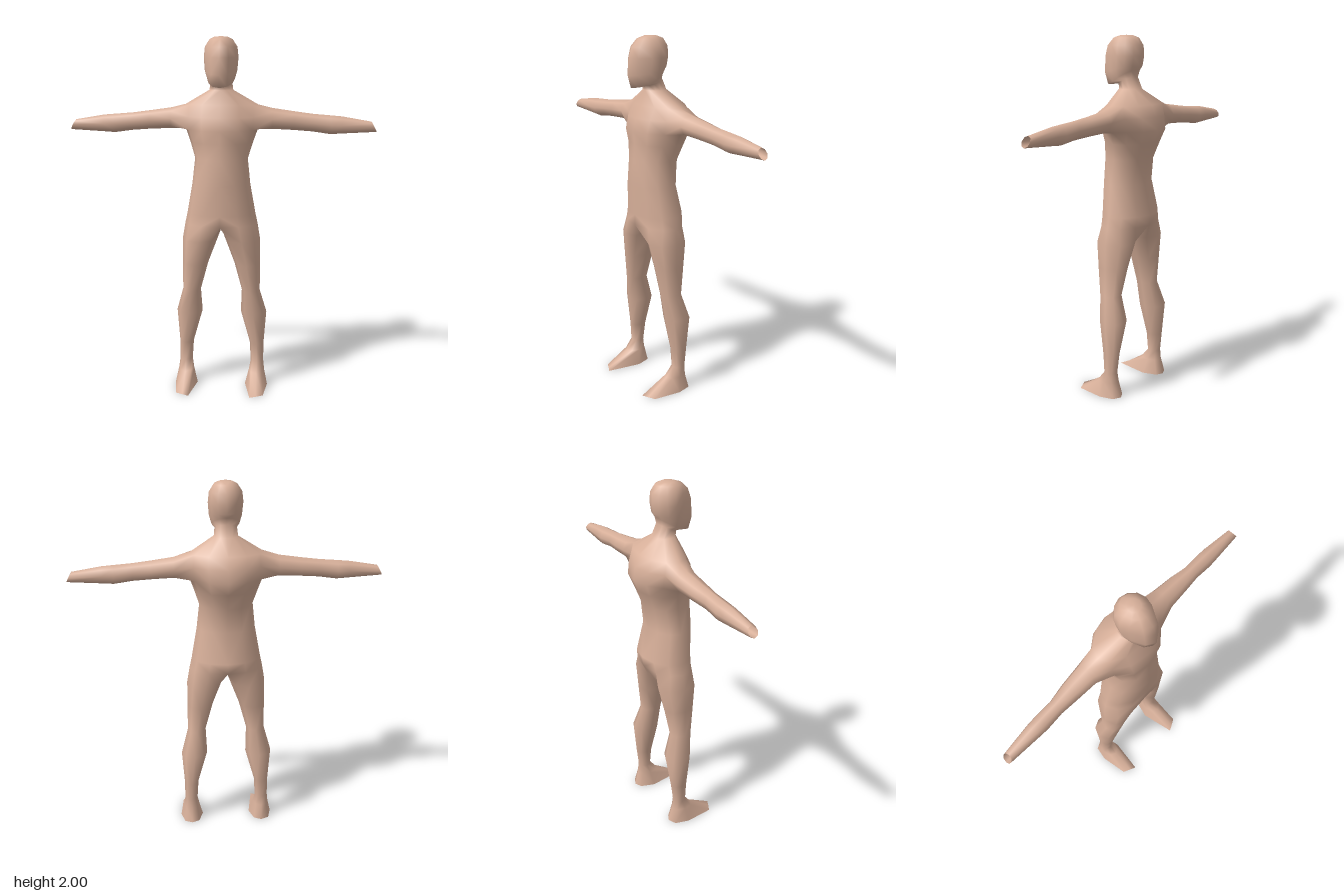
import * as THREE from 'three';
import { mergeVertices } from 'three/addons/utils/BufferGeometryUtils.js';

// Half ring of the trunk (x >= 0), seven points from front to back.
// tilt raises the front against the back, point sharpens the front.
function trunkRing([y, w, zFront, zBack, zMid, tilt = 0, point = 1]) {
  return Array.from({ length: 7 }, (_, j) => {
    const a = (j * Math.PI) / 6;
    const c = Math.cos(a);
    const z = c > 0 ? zMid + (zFront - zMid) * Math.pow(c, point) : zMid + (zMid - zBack) * c;
    return [j % 6 ? w * Math.sin(a) : 0, y + tilt * c, z];
  });
}

// Eight-sided leg ring, starting at the inner front corner
function legRing([y, xIn, xOut, zFront, zBack]) {
  return Array.from({ length: 8 }, (_, k) => {
    const a = ((k - 1) * Math.PI) / 4;
    return [
      (xIn + xOut) / 2 + ((xOut - xIn) / 2) * Math.sin(a), y,
      (zFront + zBack) / 2 + ((zFront - zBack) / 2) * Math.cos(a),
    ];
  });
}

// Eight-sided arm ring, starting at the lower front corner
function armRing([x, yLow, yHigh, zFront, zBack, tilt = 0]) {
  return Array.from({ length: 8 }, (_, k) => {
    const a = ((k - 1) * Math.PI) / 4;
    return [
      x - tilt * Math.cos(a),
      (yLow + yHigh) / 2 - ((yHigh - yLow) / 2) * Math.cos(a),
      (zFront + zBack) / 2 - ((zFront - zBack) / 2) * Math.sin(a),
    ];
  });
}

export function createModel() {
  const positions = [];

  // Adds a triangle and its mirror image
  const tri = (a, b, c) => {
    positions.push(...a, ...b, ...c);
    for (const [x, y, z] of [a, c, b]) positions.push(-x, y, z);
  };
  const loft = (rings, closed, skip = () => false) => {
    for (let i = 0; i < rings.length - 1; i++) {
      const A = rings[i], B = rings[i + 1], n = A.length;
      for (let j = 0; j < (closed ? n : n - 1); j++) {
        if (skip(i, j)) continue;
        const k = (j + 1) % n;
        tri(A[j], A[k], B[j]);
        tri(A[k], B[k], B[j]);
      }
    }
  };

  // Trunk, neck and head: y, half width, front z, back z, middle z, tilt, point
  const trunk = [
    [0.97, 0.205, 0.12, -0.14, -0.01],
    [1.03, 0.192, 0.12, -0.15, -0.01],
    [1.2, 0.162, 0.13, -0.11, 0],
    [1.34, 0.147, 0.125, -0.13, -0.01],
    [1.43, 0.175, 0.12, -0.165, -0.03],
    [1.5, 0.2, 0.13, -0.196, -0.037],
    [1.57, 0.205, 0.11, -0.185, -0.037],
    [1.635, 0.2, 0.075, -0.16, -0.037],
    [1.715, 0.065, 0.05, -0.075, -0.01],
    [1.76, 0.06, 0.055, -0.045, 0, -0.02],
    [1.775, 0.075, 0.14, -0.055, 0.02, -0.042, 1.6],
    [1.82, 0.088, 0.16, -0.072, 0.02, -0.02, 1.6],
    [1.89, 0.094, 0.153, -0.08, 0.01, 0, 1.6],
    [1.945, 0.088, 0.133, -0.078, 0.01, 0, 1.4],
    [1.985, 0.062, 0.09, -0.055, 0.015],
    [1.998, 0.035, 0.05, -0.02, 0.015],
    [2.0, 0, 0.015, 0.015, 0.015],
  ].map(trunkRing);
  const [low, mid, high] = [5, 6, 7];
  // Openings at the sides of the chest take the arms
  loft(trunk, false, (i, j) => (i === low || i === mid) && (j === 2 || j === 3));

  // Arms: x, low y, high y, front z, back z, tilt of the open wrist
  const armRoot = [
    trunk[low][2], trunk[low][3], trunk[low][4], trunk[mid][4],
    trunk[high][4], trunk[high][3], trunk[high][2], trunk[mid][2],
  ];
  const arm = [
    [0.28, 1.5, 1.615, 0.022, -0.107],
    [0.4, 1.495, 1.598, 0.012, -0.097],
    [0.5, 1.488, 1.585, 0.002, -0.082],
    [0.6, 1.474, 1.577, 0.005, -0.086],
    [0.66, 1.478, 1.572, 0.002, -0.083],
    [0.835, 1.489, 1.545, -0.01, -0.065, -0.015 * -1 * -1],
  ].map(armRing);
  // The wrist leans outwards at the top
  loft([armRoot, ...arm], true);

  // Legs: y, inner x, outer x, front z, back z
  const hip = [...trunk[0], [0, 0.94, -0.01]];
  const leg = [
    [0.88, 0.022, 0.22, 0.107, -0.12],
    [0.74, 0.075, 0.221, 0.085, -0.095],
    [0.58, 0.118, 0.221, 0.062, -0.07],
    [0.44, 0.112, 0.26, 0.042, -0.11],
    [0.25, 0.165, 0.246, 0.015, -0.085],
    [0.14, 0.172, 0.245, 0.005, -0.07],
    [0.085, 0.162, 0.252, 0.05, -0.08],
  ].map(legRing);
  // Foot outline on the ground, left open underneath
  const sole = [
    [0.175, 0.197], [0.21, 0.18], [0.25, 0.16], [0.27, 0],
    [0.25, -0.08], [0.205, -0.1], [0.165, -0.08], [0.14, 0],
  ].map(([x, z]) => [x, 0, z]);
  loft([hip, ...leg, sole].reverse(), true);

  // Weld both halves so the shading runs smoothly across every join
  let geometry = new THREE.BufferGeometry();
  geometry.setAttribute('position', new THREE.Float32BufferAttribute(positions, 3));
  geometry = mergeVertices(geometry, 1e-4);
  geometry.computeVertexNormals();

  const material = new THREE.MeshStandardMaterial({ color: 0xd8b09a, side: THREE.DoubleSide });
  const body = new THREE.Mesh(geometry, material);
  body.name = 'body';
  const group = new THREE.Group();
  group.name = 'humanFigure';
  group.add(body);
  return group;
}
